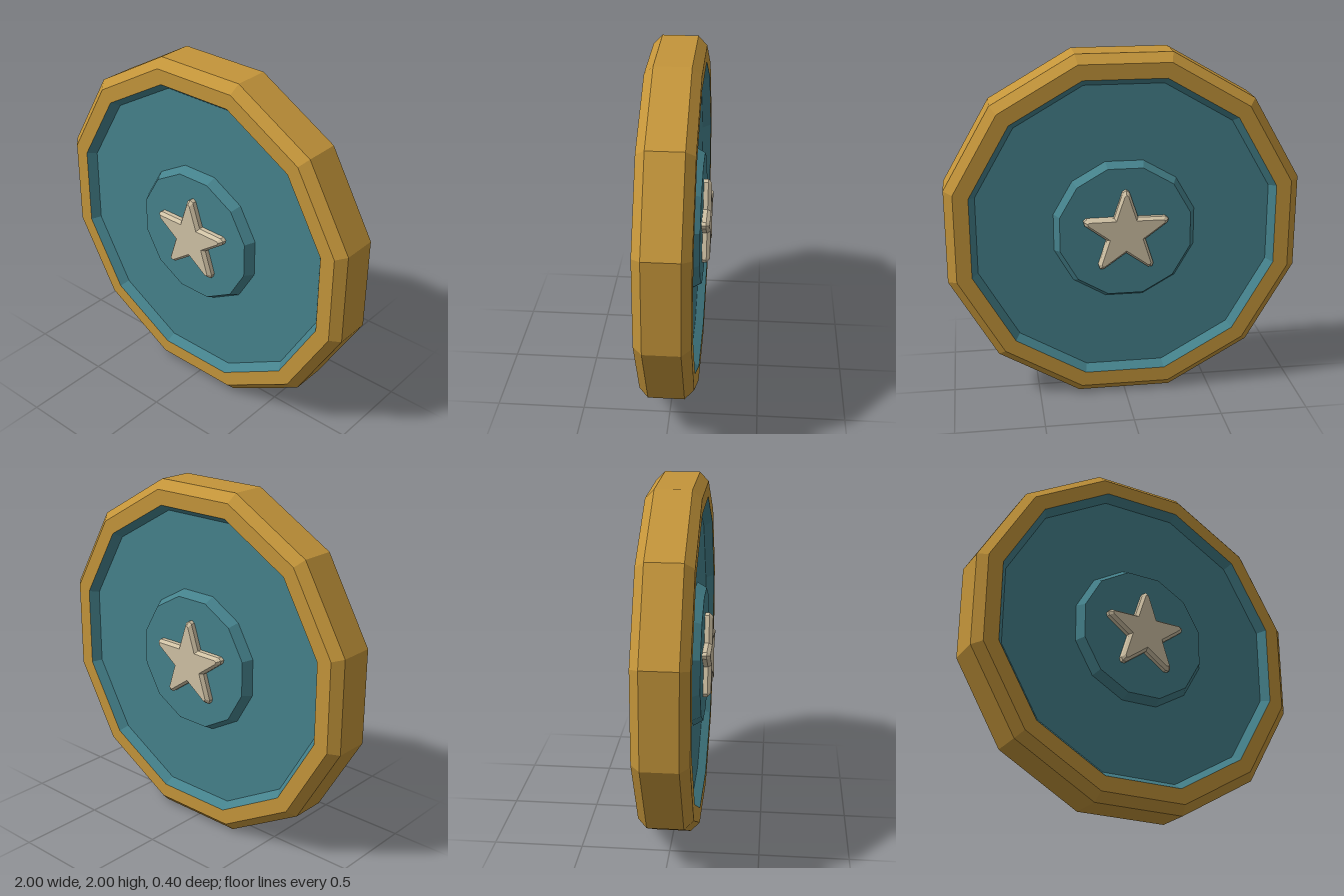
import * as THREE from 'three';

const SIDES = 12;
const CORNER = 1 / Math.cos(Math.PI / SIDES); // flat-to-flat distance -> corner radius

function material(name, color) {
  const m = new THREE.MeshStandardMaterial({ color, flatShading: true });
  m.name = name;
  return m;
}

function part(name, geometry, mat) {
  const mesh = new THREE.Mesh(geometry, mat);
  mesh.name = name;
  return mesh;
}

// Twelve-sided turned solid around the z axis; profile is [apothem, z] from back to front
function turned(profile) {
  const points = profile.map(([r, z]) => new THREE.Vector2(r * CORNER, z));
  const lathe = new THREE.LatheGeometry(points, SIDES, Math.PI / SIDES);
  const g = lathe.rotateX(Math.PI / 2).toNonIndexed();
  g.computeVertexNormals();
  return g;
}

// Star outline with slightly blunted tips, as [x, y] corners running anticlockwise
function starRing(tip, shoulder, spread, notch) {
  const ring = [];
  for (let i = 0; i < 5; i++) {
    const a = Math.PI / 2 + (i * 2 * Math.PI) / 5;
    for (const [r, da] of [[shoulder, -spread], [tip, 0], [shoulder, spread], [notch, Math.PI / 5]]) {
      ring.push([r * Math.cos(a + da), r * Math.sin(a + da)]);
    }
  }
  return ring;
}

// Raised star: straight wall, chamfer and flat face
function starGeometry() {
  const outer = starRing(0.252, 0.24, 0.079, 0.115);
  const inner = starRing(0.23, 0.222, 0.045, 0.097);
  const layers = [[outer, 0.14], [outer, 0.18], [inner, 0.2]];
  const n = outer.length;
  const pos = [];
  const at = (l, i) => [...layers[l][0][i % n], layers[l][1]];
  for (let i = 0; i < n; i++) {
    for (let l = 0; l < layers.length - 1; l++) {
      const a = at(l, i), b = at(l, i + 1), c = at(l + 1, i + 1), d = at(l + 1, i);
      pos.push(...a, ...b, ...c, ...a, ...c, ...d);
    }
    pos.push(0, 0, 0.2, ...at(2, i), ...at(2, i + 1));
  }
  const g = new THREE.BufferGeometry();
  g.setAttribute('position', new THREE.Float32BufferAttribute(pos, 3));
  g.computeVertexNormals();
  return g;
}

export function createModel() {
  const gold = material('gold', 0xc4953a);
  const teal = material('teal', 0x45828c);
  const ivory = material('ivory', 0xd0c2a5);

  const model = new THREE.Group();
  model.name = 'roundShield';

  // Chamfered outer rim
  model.add(part('rim', turned([
    [0.865, -0.15], [0.95, -0.15], [1, -0.1], [1, 0.1], [0.95, 0.15], [0.865, 0.15],
  ]), gold));

  // Both faces carry the same recessed panel, boss and star
  const panel = turned([[0.865, 0.15], [0.83, 0.1], [0, 0.1]]);
  const boss = turned([[0.4, 0.1], [0.37, 0.155], [0, 0.155]]);
  const star = starGeometry();
  for (const side of ['front', 'back']) {
    const face = new THREE.Group();
    face.name = side + 'Face';
    face.add(part('panel', panel, teal), part('boss', boss, teal), part('star', star, ivory));
    if (side === 'back') face.rotation.y = Math.PI;
    model.add(face);
  }

  model.position.y = 1;
  const root = new THREE.Group();
  root.name = 'shield';
  root.add(model);
  return root;
}
